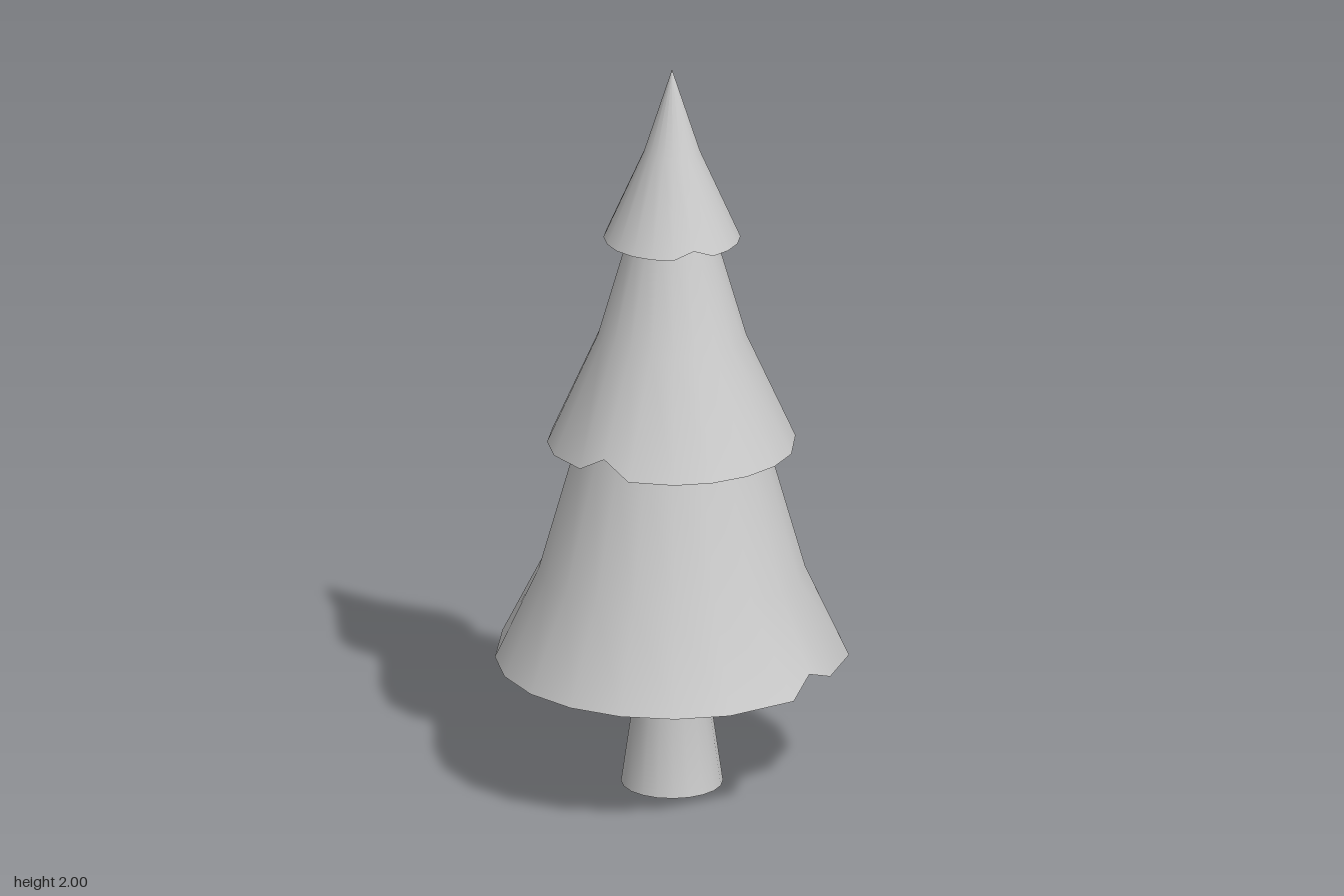
import * as THREE from 'three';

const SIDES = 20;
const material = new THREE.MeshStandardMaterial({ color: 0xcccccc, side: THREE.DoubleSide });

// Turned surface; profile is [radius, y] pairs from bottom to top
function turned(name, profile) {
  const points = profile.map(([r, y]) => new THREE.Vector2(r, y));
  const mesh = new THREE.Mesh(new THREE.LatheGeometry(points, SIDES), material);
  mesh.name = name;
  return mesh;
}

// Move single rim corners: each nick is [side index, x, y, z]
function nickRim(mesh, rimRow, rowCount, nicks) {
  const pos = mesh.geometry.attributes.position;
  for (const [side, x, y, z] of nicks) {
    pos.setXYZ(side * rowCount + rimRow, x, y, z);
    if (side === 0) pos.setXYZ(SIDES * rowCount + rimRow, x, y, z);
  }
}

// One layer of branches: flared skirt plus a hollowed underside
function makeTier({ name, profile, inner, nicks }) {
  const tier = new THREE.Group();
  tier.name = name;
  const skirt = turned(name + 'Skirt', profile);
  nickRim(skirt, 0, profile.length, nicks);
  const underside = turned(name + 'Underside', [inner, profile[0]]);
  nickRim(underside, 1, 2, nicks);
  tier.add(skirt, underside);
  return tier;
}

const tiers = [
  {
    name: 'lowerBranches',
    profile: [[0.465, 0.35], [0.35, 0.6], [0.25, 0.955], [0.232, 1.02]],
    inner: [0.1, 0.46],
    nicks: [
      [4, 0.46, 0.355, 0.1], [5, 0.44, 0.395, 0], [6, 0.43, 0.352, -0.11],
      [14, -0.432, 0.352, -0.125], [15, -0.44, 0.39, 0], [16, -0.463, 0.357, 0.115],
    ],
  },
  {
    name: 'middleBranches',
    profile: [[0.328, 0.955], [0.195, 1.255], [0.116, 1.53], [0.1, 1.59]],
    inner: [0.232, 1.01],
    nicks: [
      [0, 0, 1.0, 0.311], [1, 0.08, 0.955, 0.315], [19, -0.08, 0.955, 0.307],
      [7, 0.242, 0.955, -0.22], [8, 0.185, 0.99, -0.248],
    ],
  },
  {
    name: 'topBranches',
    profile: [[0.18, 1.53], [0.074, 1.77], [0, 2]],
    inner: [0.1, 1.575],
    nicks: [[3, 0.14, 1.55, 0.1]],
  },
];

export function createModel() {
  const tree = new THREE.Group();
  tree.name = 'pineTree';

  // Trunk with a flared foot
  tree.add(turned('trunk', [[0.134, 0], [0.107, 0.19], [0.107, 0.47]]));
  const foot = new THREE.Mesh(new THREE.CircleGeometry(0.134, SIDES), material);
  foot.rotation.x = Math.PI / 2;
  foot.name = 'trunkBase';
  tree.add(foot);

  for (const spec of tiers) tree.add(makeTier(spec));
  return tree;
}
